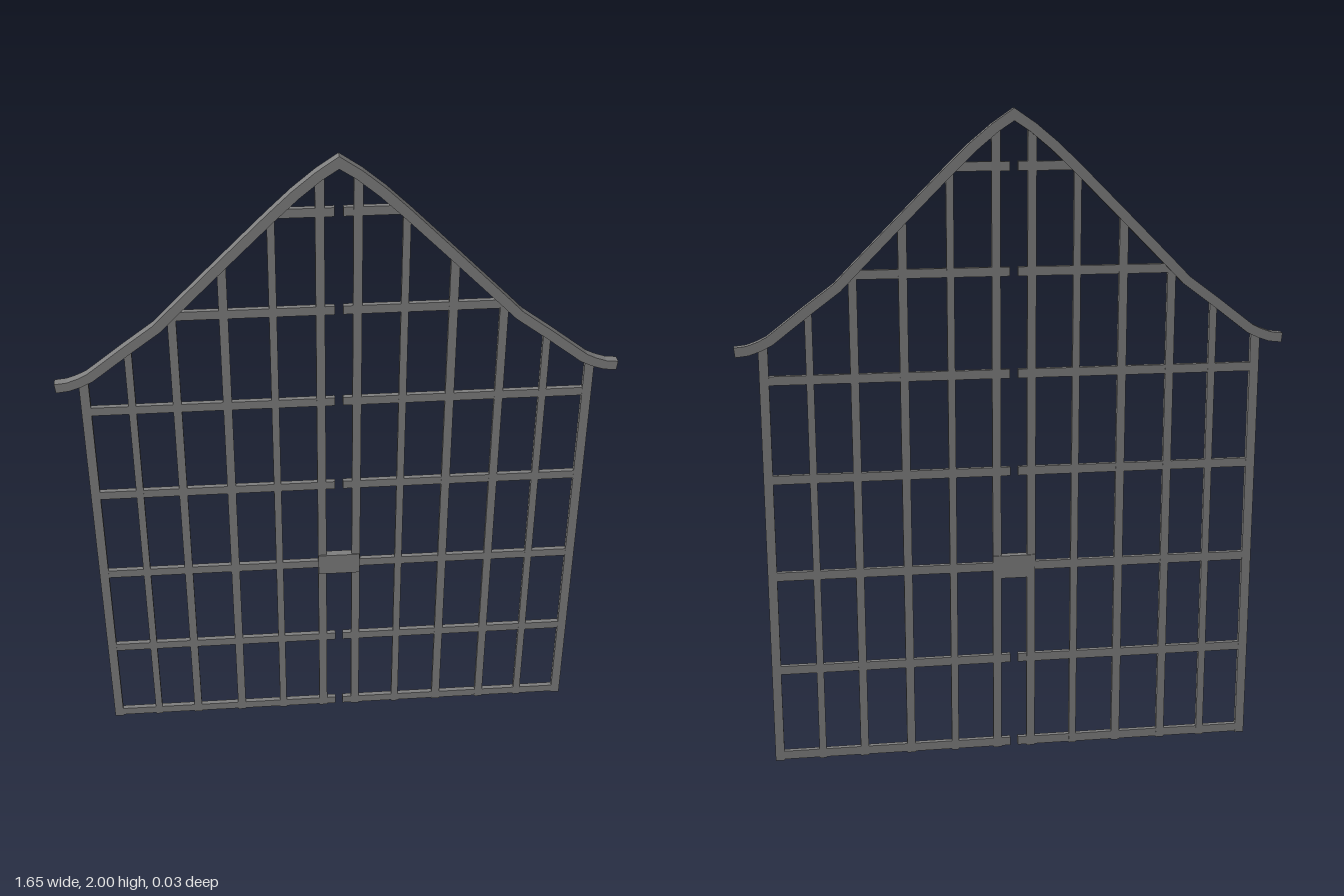
import * as THREE from 'three';

const steel = new THREE.MeshStandardMaterial({ color: 0x808080 });
steel.name = 'grey steel';

// Centre line of the right-hand half of the curved top rail, peak to tip
const railLine = [
  [0, 1.981], [0.055, 1.944], [0.12, 1.89], [0.19, 1.823], [0.335, 1.678], [0.475, 1.537],
  [0.52, 1.491], [0.61, 1.424], [0.72, 1.339], [0.75, 1.324], [0.785, 1.312], [0.822, 1.308],
];

// Height of the rail centre line at a given x
function railHeight(x) {
  for (let i = 1; i < railLine.length; i++) {
    const [x0, y0] = railLine[i - 1], [x1, y1] = railLine[i];
    if (x <= x1) return y0 + (y1 - y0) * (x - x0) / (x1 - x0);
  }
  return railLine[railLine.length - 1][1];
}

function bar(name, x0, x1, y0, y1, depth) {
  const mesh = new THREE.Mesh(new THREE.BoxGeometry(x1 - x0, y1 - y0, depth), steel);
  mesh.name = name;
  mesh.position.set((x0 + x1) / 2, (y0 + y1) / 2, 0);
  return mesh;
}

// One continuous rail: the centre line offset to both sides and extruded
function topRail(half, depth) {
  const line = [...railLine.slice(1).reverse().map(([x, y]) => [-x, y]), ...railLine];
  const upper = [], lower = [];
  line.forEach(([x, y], i) => {
    const a = line[Math.max(i - 1, 0)], b = line[Math.min(i + 1, line.length - 1)];
    const n = new THREE.Vector2(-(b[1] - a[1]), b[0] - a[0]).normalize().multiplyScalar(half);
    if (x === 0) n.y *= 1.25;
    upper.push(new THREE.Vector2(x + n.x, y + n.y));
    lower.push(new THREE.Vector2(x - n.x, y - n.y));
  });
  const shape = new THREE.Shape([...lower, ...upper.reverse()]);
  const geometry = new THREE.ExtrudeGeometry(shape, { depth, bevelEnabled: false });
  geometry.translate(0, 0, -depth / 2);
  const mesh = new THREE.Mesh(geometry, steel);
  mesh.name = 'topRail';
  return mesh;
}

export function createModel() {
  const gate = new THREE.Group();
  gate.name = 'gate';
  gate.add(topRail(0.0145, 0.028));

  const uprights = [[0.053, 0.026], [0.188, 0.022], [0.328, 0.026], [0.475, 0.025], [0.606, 0.022], [0.74, 0.028]];
  const crossbars = [[0.017, 0.74], [0.303, 0.74], [0.609, 0.74], [0.915, 0.74], [1.219, 0.74], [1.527, 0.47], [1.834, 0.17]];

  // Two mirrored leaves with a narrow gap between them
  for (const side of [1, -1]) {
    const leaf = new THREE.Group();
    leaf.name = side > 0 ? 'leftLeaf' : 'rightLeaf';
    for (const [x, w] of uprights) {
      leaf.add(bar('upright', side * x - w / 2, side * x + w / 2, 0, railHeight(x) - 0.004, 0.016));
    }
    for (const [y, end] of crossbars) {
      const inner = 0.012;
      leaf.add(bar('crossbar', side > 0 ? inner : -end, side > 0 ? end : -inner, y - 0.0135, y + 0.0135, 0.015));
    }
    gate.add(leaf);
  }

  // Lock plate bridging the two leaves
  gate.add(bar('lockPlate', -0.065, 0.065, 0.572, 0.645, 0.024));
  return gate;
}
